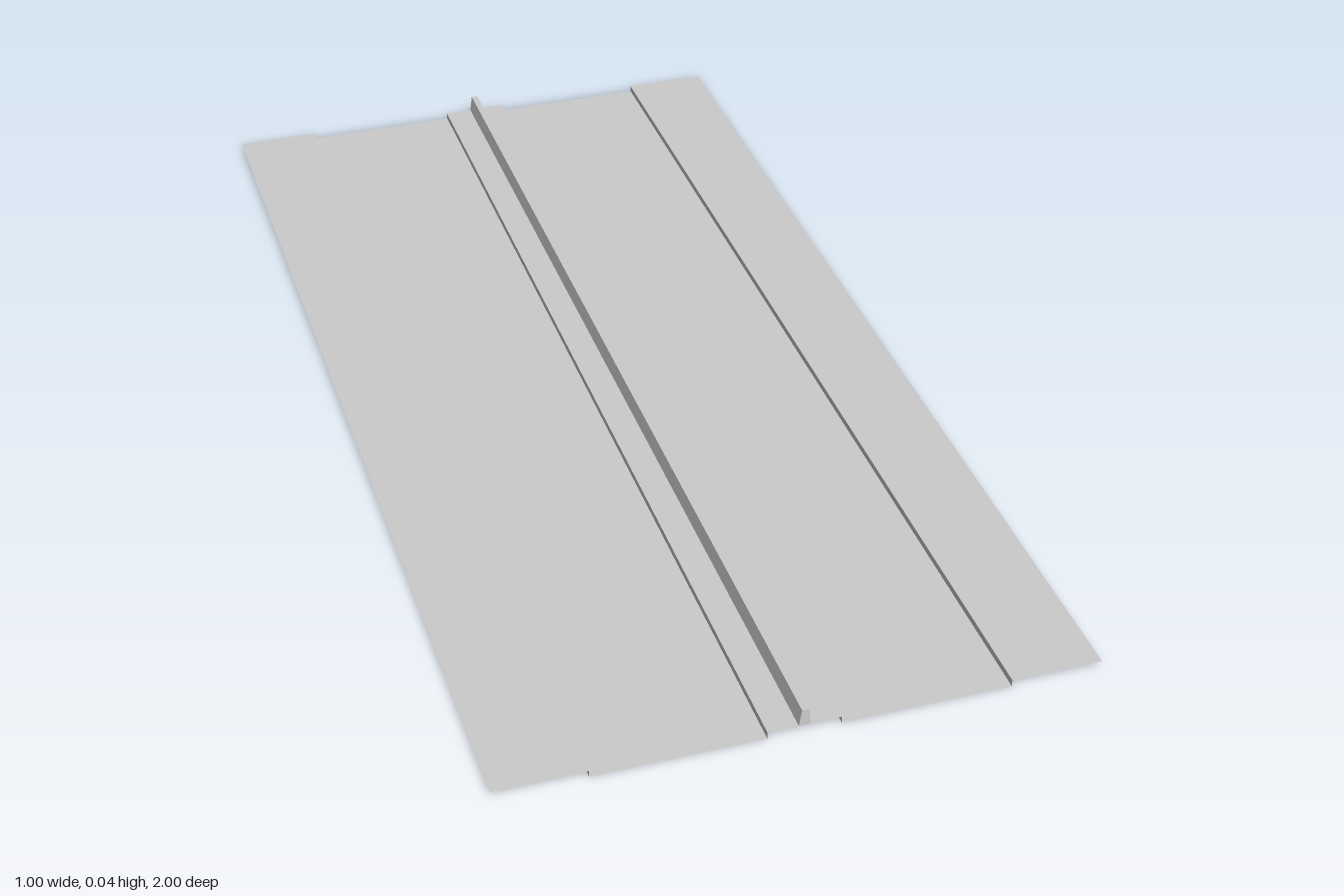
import * as THREE from 'three';

const LENGTH = 2, KERB = 0.012;

export function createModel() {
  const group = new THREE.Group();
  const sheetMat = new THREE.MeshStandardMaterial({ color: 0xcccccc, flatShading: true, side: THREE.DoubleSide });
  const solidMat = new THREE.MeshStandardMaterial({ color: 0xcccccc, flatShading: true });

  // Thin strip running the full length between two cross-section points
  function strip(name, x0, y0, x1, y1) {
    const geo = new THREE.PlaneGeometry(Math.hypot(x1 - x0, y1 - y0), LENGTH);
    geo.rotateX(-Math.PI / 2);
    geo.rotateZ(Math.atan2(y1 - y0, x1 - x0));
    geo.translate((x0 + x1) / 2, (y0 + y1) / 2, 0);
    const mesh = new THREE.Mesh(geo, sheetMat);
    mesh.name = name;
    group.add(mesh);
  }

  // Road cross-section from its right edge to its left edge
  const profile = [
    ['rightSidewalk', -0.5, KERB], ['rightKerb', -0.346, KERB],
    ['rightRoadway', -0.346, 0], ['rightMedianKerb', -0.061, 0],
    ['median', -0.061, KERB], ['leftMedianKerb', 0.061, KERB],
    ['leftRoadway', 0.061, 0], ['leftKerb', 0.346, 0],
    ['leftSidewalk', 0.346, KERB], ['end', 0.5, KERB],
  ];
  for (let i = 0; i < profile.length - 1; i++) {
    const [name, x0, y0] = profile[i], [, x1, y1] = profile[i + 1];
    strip(name, x0, y0, x1, y1);
  }

  // Tapered barrier along the median
  const section = new THREE.Shape([[-0.01, KERB], [0.01, KERB], [0.006, 0.043], [-0.006, 0.043]]
    .map(([x, y]) => new THREE.Vector2(x, y)));
  const barrierGeo = new THREE.ExtrudeGeometry(section, { depth: LENGTH, bevelEnabled: false });
  barrierGeo.translate(0, 0, -LENGTH / 2);
  const barrier = new THREE.Mesh(barrierGeo, solidMat);
  barrier.name = 'medianBarrier';
  group.add(barrier);

  return group;
}
